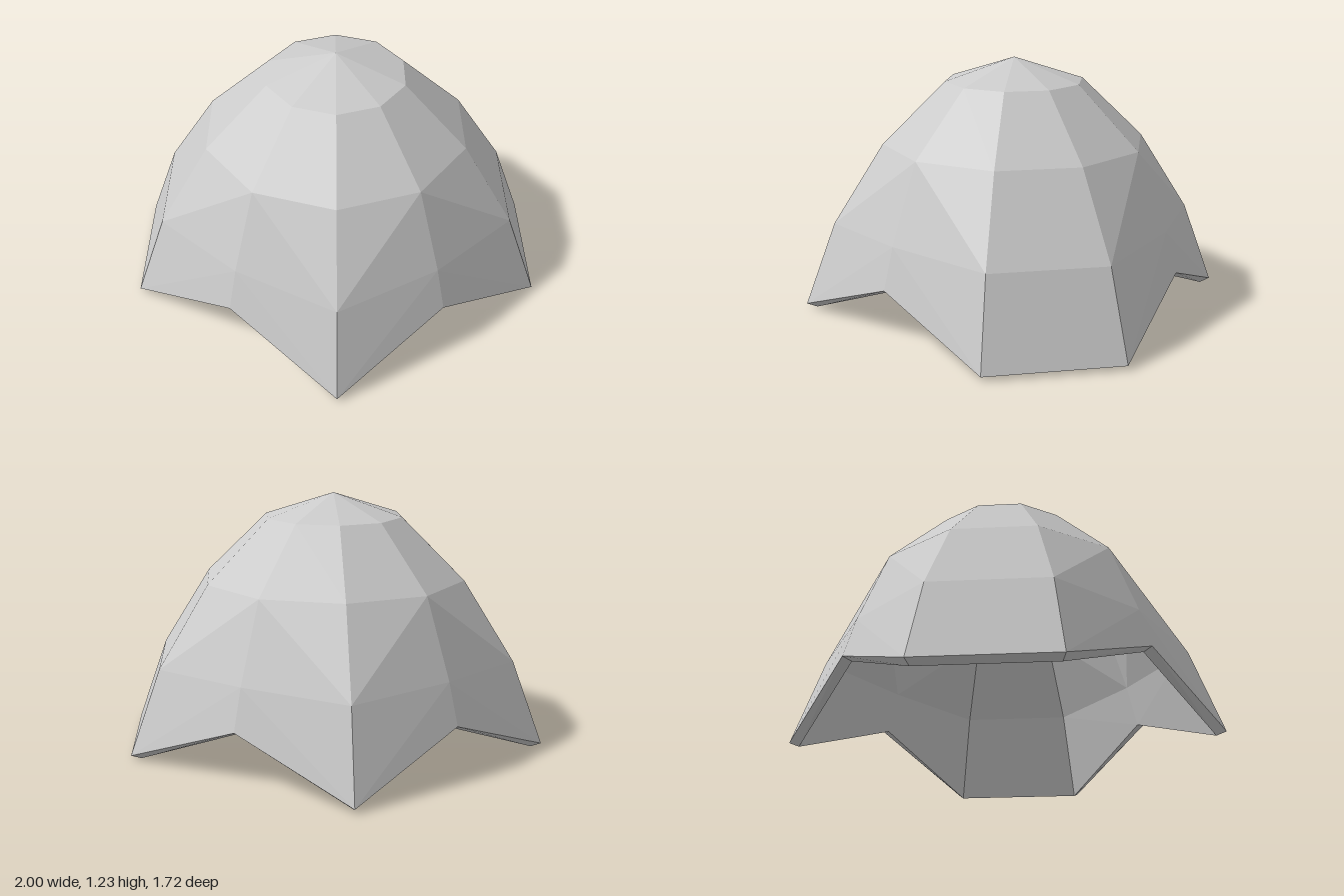
import * as THREE from 'three';

const SIDES = 10;
const NOTCHES = [0, 3, 5, 8]; // spokes where the rim rises into an opening

// Section [radius, height]: outer apex, down to the rim, then back up the inside
const CORNER = [[0, 1.23], [0.342, 1.118], [0.65, 0.82], [0.898, 0.43], [1.05, 0.02],
  [1.0, 0], [0.85, 0.41], [0.612, 0.79], [0.32, 1.075], [0, 1.18]];
const NOTCH = [[0, 1.23], [0.342, 1.118], [0.65, 0.82], [0.8, 0.447], [0.858, 0.25],
  [0.81, 0.235], [0.752, 0.43], [0.605, 0.8], [0.32, 1.075], [0, 1.18]];

function shellGeometry() {
  const positions = [], index = [];
  const rows = CORNER.length;
  for (let k = 0; k < SIDES; k++) {
    const a = (k / SIDES) * Math.PI * 2;
    for (const [r, y] of NOTCHES.includes(k) ? NOTCH : CORNER) {
      positions.push(r * Math.sin(a), y, r * Math.cos(a));
    }
  }
  for (let k = 0; k < SIDES; k++) {
    const here = k * rows, next = ((k + 1) % SIDES) * rows;
    for (let i = 0; i < rows - 1; i++) {
      const a = here + i + 1, b = next + i + 1, c = next + i, d = here + i;
      // The first and last rows are fans round the apexes
      if (i === 0) index.push(a, b, d);
      else if (i === rows - 2) index.push(a, c, d);
      // Mirror the diagonal so each opening is symmetric
      else if (NOTCHES.includes(k)) index.push(a, b, d, b, c, d);
      else index.push(a, b, c, a, c, d);
    }
  }
  const indexed = new THREE.BufferGeometry();
  indexed.setAttribute('position', new THREE.Float32BufferAttribute(positions, 3));
  indexed.setIndex(index);
  const geometry = indexed.toNonIndexed();
  geometry.computeVertexNormals();
  return geometry;
}

export function createModel() {
  const group = new THREE.Group();
  group.name = 'domeTent';
  const material = new THREE.MeshStandardMaterial({ color: 0xcccccc, flatShading: true });
  const shell = new THREE.Mesh(shellGeometry(), material);
  shell.name = 'domeShell';
  group.add(shell);
  return group;
}
